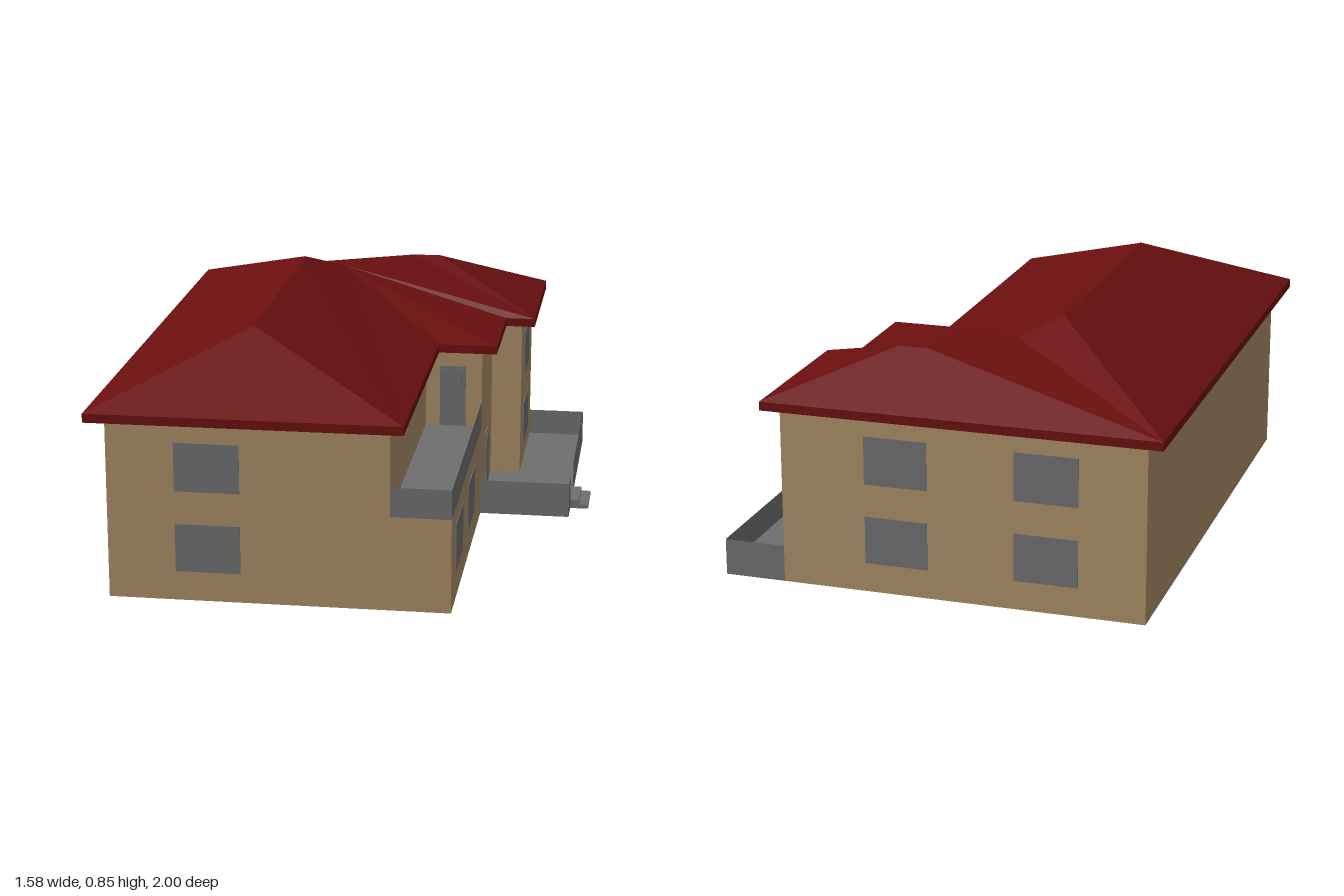
import * as THREE from 'three';

const mat = (name, color, side = THREE.FrontSide) => {
  const m = new THREE.MeshStandardMaterial({ color, side });
  m.name = name;
  return m;
};

export function createModel() {
  const house = new THREE.Group();
  house.name = 'house';
  const wallMat = mat('tan plaster', 0xa68b65, THREE.DoubleSide);
  const roofMat = mat('dark red roof', 0x6b0f0f, THREE.DoubleSide);
  const stone = mat('grey concrete', 0x6e6e6e, THREE.DoubleSide);
  const glass = mat('grey window', 0x6d6e71);

  // Flat-shaded sheet made of convex polygons
  function sheet(name, polygons, material) {
    const pos = [];
    for (const p of polygons)
      for (let i = 1; i < p.length - 1; i++) pos.push(...p[0], ...p[i], ...p[i + 1]);
    const g = new THREE.BufferGeometry();
    g.setAttribute('position', new THREE.Float32BufferAttribute(pos, 3));
    g.computeVertexNormals();
    const m = new THREE.Mesh(g, material);
    m.name = name;
    house.add(m);
  }

  // Upright panel between two ground points
  const panel = (x0, z0, x1, z1, y0, y1) =>
    [[x0, y0, z0], [x1, y0, z1], [x1, y1, z1], [x0, y1, z0]];

  // Box given by its limits on each axis
  function box(name, [x0, x1], [y0, y1], [z0, z1], material) {
    const m = new THREE.Mesh(new THREE.BoxGeometry(x1 - x0, y1 - y0, z1 - z0), material);
    m.position.set((x0 + x1) / 2, (y0 + y1) / 2, (z0 + z1) / 2);
    m.name = name;
    house.add(m);
  }

  // Walls, with the upper floor set back behind the balcony
  const top = 0.64;
  sheet('walls', [
    panel(-0.73, 0.95, 0.2, 0.95, 0, top),
    panel(0.2, 0.95, 0.4, 0.95, 0, 0.32),
    panel(0.4, 0.95, 0.4, -0.045, 0, 0.32),
    panel(0.2, 0.95, 0.2, -0.045, 0.32, top),
    panel(0.2, -0.045, 0.4, -0.045, 0.32, top),
    panel(0.4, -0.045, 0.4, -0.45, 0, top),
    panel(0.4, -0.45, 0.51, -0.45, 0, top),
    panel(0.51, -0.45, 0.51, -0.95, 0, top),
    panel(0.51, -0.95, -0.73, -0.95, 0, top),
    panel(-0.73, -0.95, -0.73, 0.95, 0, top),
  ], wallMat);

  // Balcony floor and parapet
  box('balconyFloor', [0.2, 0.398], [0.32, 0.33], [-0.045, 0.948], stone);
  sheet('balconyParapet', [
    panel(0.2, 0.95, 0.4, 0.95, 0.32, 0.42),
    panel(0.4, 0.95, 0.4, -0.045, 0.32, 0.42),
  ], stone);

  // Terrace floor, parapet with a gap, and steps
  box('terraceFloor', [0.4, 0.718], [0, 0.03], [-0.45, -0.05], stone);
  box('terraceFloorBack', [0.51, 0.718], [0, 0.03], [-0.948, -0.45], stone);
  sheet('terraceParapet', [
    panel(0.4, -0.045, 0.72, -0.045, 0, 0.125),
    panel(0.72, -0.045, 0.72, -0.145, 0, 0.125),
    panel(0.72, -0.305, 0.72, -0.95, 0, 0.125),
    panel(0.72, -0.95, 0.51, -0.95, 0, 0.125),
  ], stone);
  box('upperStep', [0.718, 0.752], [0, 0.03], [-0.305, -0.145], stone);
  box('lowerStep', [0.752, 0.785], [0, 0.015], [-0.305, -0.145], stone);

  // Windows: thin plates showing on both sides of the wall
  const t = 0.003;
  const low = [0.1, 0.263], high = [0.375, 0.54];
  for (const y of [low, high]) {
    box('frontWindow', [-0.505, -0.29], y, [0.95 - t, 0.95 + t], glass);
    for (const x of [[-0.505, -0.29], [0.005, 0.22]])
      box('backWindow', x, y, [-0.95 - t, -0.95 + t], glass);
    box('wingWindow', [0.51 - t, 0.51 + t], y, [-0.8, -0.58], glass);
  }
  for (const z of [[0.605, 0.825], [0.207, 0.427]])
    box('sideWindow', [0.4 - t, 0.4 + t], low, z, glass);

  // Doors: frame plate with a raised leaf
  box('entranceFrame', [0.4 - t, 0.405], [0.03, 0.257], [-0.27, -0.178], stone);
  box('entranceDoor', [0.4, 0.409], [0.045, 0.245], [-0.256, -0.192], glass);
  box('balconyDoorFrame', [0.25, 0.342], [0.33, 0.55], [-0.045 - t, -0.04], stone);
  box('balconyDoor', [0.264, 0.328], [0.33, 0.54], [-0.045, -0.036], glass);

  // Hipped roof with a lower side ridge
  const e = 0.64;
  const eaves = [[-0.79, 1], [0.25, 1], [0.25, 0], [0.455, 0],
    [0.455, -0.4], [0.56, -0.4], [0.56, -1], [-0.79, -1]];
  const [a, b, c, d, f, g, h, k] = eaves.map(([x, z]) => [x, e, z]);
  const ridgeFront = [-0.3, 0.845, 0.6], ridgeBack = [-0.3, 0.845, -0.42];
  const p = [-0.17, 0.79, -0.53], q = [0.07, 0.79, -0.74], r = [0.17, 0.79, -0.74];
  sheet('roof', [
    [a, b, ridgeFront],
    [k, a, ridgeFront, ridgeBack],
    [b, c, p, ridgeBack, ridgeFront],
    [c, d, p], [d, f, p], [f, g, p],
    [g, q, p], [g, r, q], [g, h, r],
    [h, k, q, r], [k, p, q], [k, ridgeBack, p],
  ], roofMat);
  sheet('roofFascia', eaves.map(([x, z], i) => {
    const [x1, z1] = eaves[(i + 1) % eaves.length];
    return panel(x, z, x1, z1, 0.61, e);
  }), roofMat);

  return house;
}
